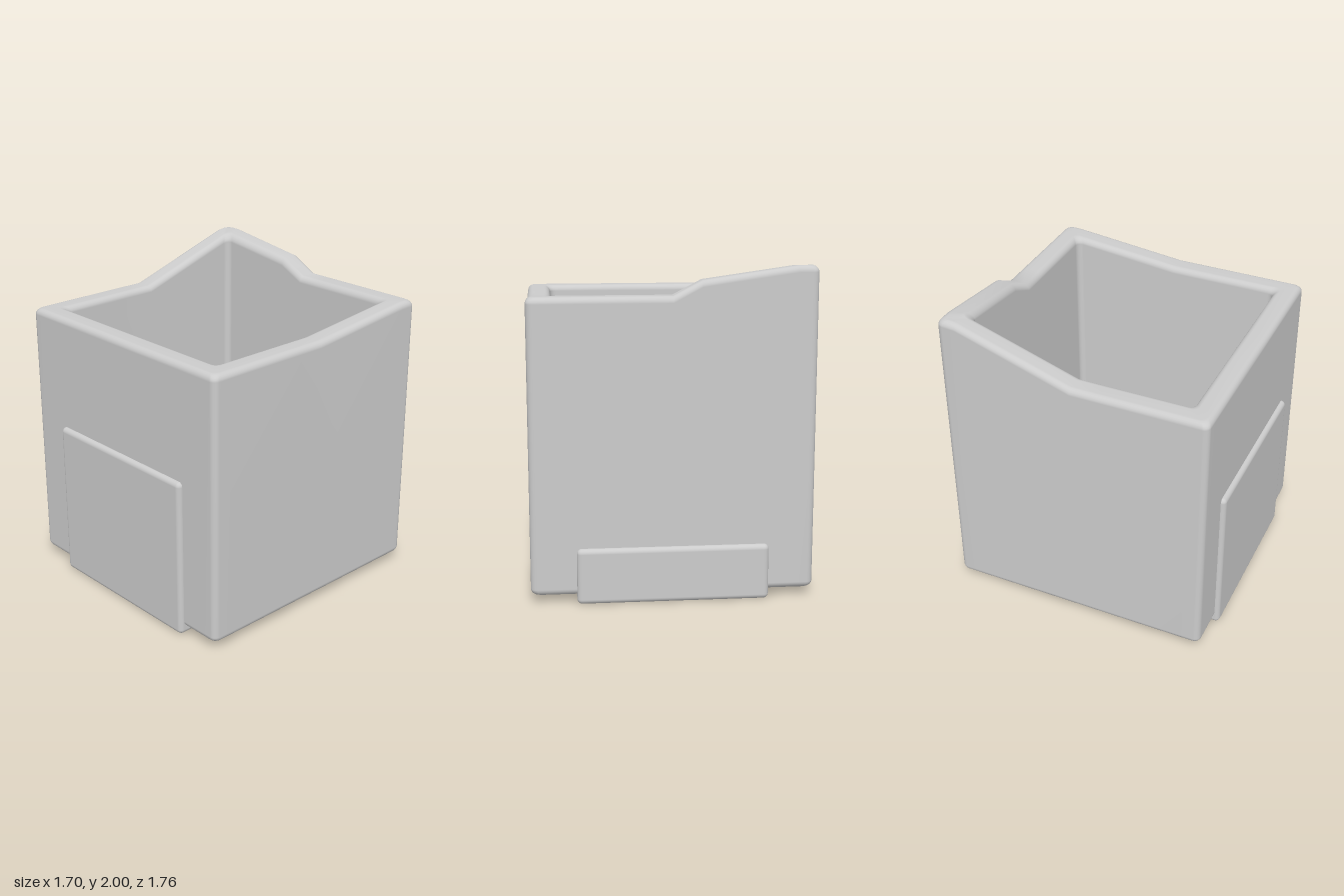
import * as THREE from 'three';
import { mergeVertices } from 'three/addons/utils/BufferGeometryUtils.js';
import { RoundedBoxGeometry } from 'three/addons/geometries/RoundedBoxGeometry.js';

const material = new THREE.MeshStandardMaterial({ color: 0xcccccc });
const OUTER = 0.85, INNER = 0.7, RIM = 1.75, BASE = 0.05, FLOOR = 0.2, ROUND = 0.04;

// Extra height of the rim: level at the front, highest in the back corner at -x.
function rimRise(x, z) {
  const profile = [[-0.73, 0.25], [-0.17, 0.17], [0, 0.08]];
  let height = x <= profile[0][0] ? 0.25 : 0.08;
  for (let k = 0; k < 2; k++) {
    const [x0, h0] = profile[k], [x1, h1] = profile[k + 1];
    if (x > x0 && x <= x1) height = h0 + (h1 - h0) * (x - x0) / (x1 - x0);
  }
  return height * THREE.MathUtils.clamp(-z / 0.75, 0, 1);
}

// Square ring with rounded corners, split along the sides where the rim bends.
function squareRing(half, radius) {
  const r = Math.min(radius, half), c = half - r, points = [];
  const breaks = [-0.73, -0.17, 0, 0.17, 0.73];
  for (let side = 0; side < 4; side++) {
    const local = breaks.map(s => [half, THREE.MathUtils.clamp(s, -c, c)]);
    for (let k = 0; k <= 5; k++) {
      const a = k / 5 * Math.PI / 2;
      local.push([c + r * Math.cos(a), c + r * Math.sin(a)]);
    }
    for (let [x, z] of local) {
      for (let t = 0; t < side; t++) [x, z] = [-z, x];
      points.push([x, z]);
    }
  }
  return points;
}

// Skin over rings: each step is [half width, corner radius, y, follows rim].
function ringSkin(steps) {
  const position = [], index = [], n = squareRing(1, 0.1).length;
  steps.forEach(([half, radius, y, follows], i) => {
    squareRing(half, radius).forEach(([x, z], j) => {
      position.push(x, y + (follows ? rimRise(x, z) : 0), z);
      if (i + 1 === steps.length) return;
      const k = (j + 1) % n, a = i * n + j, b = a + n, c = i * n + k, d = c + n;
      index.push(a, b, c, c, b, d);
    });
  });
  let geometry = new THREE.BufferGeometry();
  geometry.setAttribute('position', new THREE.Float32BufferAttribute(position, 3));
  geometry.setIndex(index);
  geometry = mergeVertices(geometry, 1e-5);
  geometry.computeVertexNormals();
  return geometry;
}

function addMesh(group, name, geometry) {
  const mesh = new THREE.Mesh(geometry, material);
  mesh.name = name;
  group.add(mesh);
  return mesh;
}

// Rounded plate given by its lower and upper corners.
function addPlate(group, name, min, max) {
  const size = max.map((v, k) => v - min[k]);
  const mesh = addMesh(group, name, new RoundedBoxGeometry(...size, 4, 0.03));
  mesh.position.set(...max.map((v, k) => (v + min[k]) / 2));
}

export function createModel() {
  const model = new THREE.Group();
  model.name = 'squarePot';

  // Pot wall: underside, rounded lower edge, outside, rounded rim, inside
  const steps = [[0, 0, BASE, false]];
  const arc = (halfCentre, y, from, to, corner, follows) => {
    for (let k = 0; k <= 5; k++) {
      const a = from + (to - from) * k / 5;
      steps.push([halfCentre + ROUND * Math.cos(a), corner, y + ROUND * Math.sin(a), follows]);
    }
  };
  arc(OUTER - ROUND, BASE + ROUND, -Math.PI / 2, 0, ROUND, false);
  arc(OUTER - ROUND, RIM - ROUND, 0, Math.PI / 2, ROUND, true);
  arc(INNER + ROUND, RIM - ROUND, Math.PI / 2, Math.PI, ROUND, true);
  steps.push([INNER, ROUND, FLOOR, false]);
  addMesh(model, 'potWall', ringSkin(steps));

  // Inside floor
  addMesh(model, 'potFloor', ringSkin([[INNER, ROUND, FLOOR, false], [0, 0, FLOOR, false]]));

  // Cradle: bottom plate with a tall front and a low back panel
  const cradle = new THREE.Group();
  cradle.name = 'cradle';
  addPlate(cradle, 'bottomPlate', [-0.575, 0, -0.88], [0.575, 0.1, 0.88]);
  addPlate(cradle, 'frontPanel', [-0.575, 0, 0.78], [0.575, 1.02, 0.88]);
  addPlate(cradle, 'backPanel', [-0.575, 0, -0.88], [0.575, 0.34, -0.78]);
  model.add(cradle);

  return model;
}
